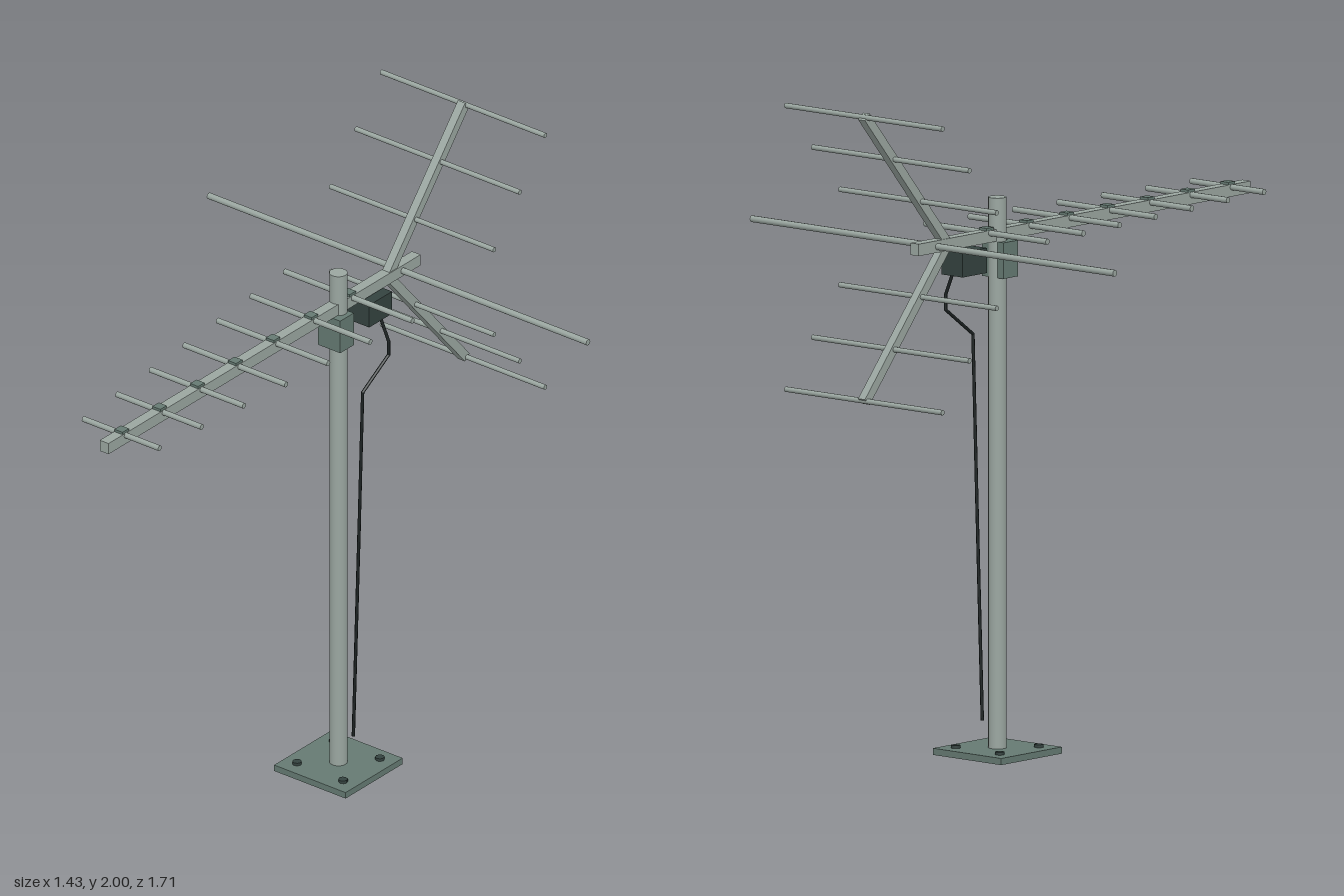
import * as THREE from 'three';

const mat = (name, color) => {
  const m = new THREE.MeshStandardMaterial({ color });
  m.name = name;
  return m;
};

export function createModel() {
  const metal = mat('galvanised metal', 0x9aa6a0);
  const plate = mat('green grey steel', 0x657a72);
  const dark = mat('dark housing', 0x34423f);
  const rubber = mat('black rubber', 0x1b2121);

  const model = new THREE.Group();
  model.name = 'rooftopAntenna';

  const add = (name, geometry, material, x, y, z) => {
    const mesh = new THREE.Mesh(geometry, material);
    mesh.name = name;
    mesh.position.set(x, y, z);
    model.add(mesh);
    return mesh;
  };
  const box = (name, w, h, d, material, x, y, z) =>
    add(name, new THREE.BoxGeometry(w, h, d), material, x, y, z);

  // Horizontal tube across x
  const element = (name, half, r, y, z) =>
    add(name, new THREE.CylinderGeometry(r, r, half * 2, 10).rotateZ(Math.PI / 2), metal, 0, y, z);

  const MAST_Z = -0.253;
  const BOOM_Y = 1.559;

  // Base plate with four bolts
  box('basePlate', 0.27, 0.02, 0.27, plate, 0, 0.01, MAST_Z);
  for (const sx of [-1, 1]) for (const sz of [-1, 1])
    add('baseBolt', new THREE.CylinderGeometry(0.014, 0.014, 0.012, 8), dark,
      sx * 0.087, 0.023, MAST_Z + sz * 0.087);

  // Mast and the clamp under the boom
  add('mast', new THREE.CylinderGeometry(0.027, 0.027, 1.655, 20), metal, 0, 0.8425, MAST_Z);
  box('mastClamp', 0.084, 0.108, 0.064, plate, 0, 1.485, -0.241);

  // Boom
  box('boom', 0.033, 0.036, 1.476, metal, 0, BOOM_Y, 0.117);

  // Directors grow longer toward the back, each under a clip
  for (let i = 0; i < 7; i++) {
    const z = 0.772 - i * 0.179;
    element('director', 0.144 + i * 0.0163, 0.009, 1.569, z);
    box('directorClip', 0.03, 0.014, 0.03, plate, 0, 1.578, z);
  }

  // Driven dipole and its junction box
  element('dipole', 0.717, 0.01, BOOM_Y, -0.537);
  box('junctionBox', 0.084, 0.075, 0.108, dark, 0, 1.496, -0.4);

  // V-shaped reflector arms with three bars each
  const apexZ = -0.481, tipZ = -0.846, rise = 0.427;
  const armLength = Math.hypot(tipZ - apexZ, rise);
  for (const s of [1, -1]) {
    const arm = box('reflectorArm', 0.027, 0.028, armLength, metal,
      0, BOOM_Y + s * rise / 2, (apexZ + tipZ) / 2);
    arm.rotation.x = s * Math.atan2(rise, apexZ - tipZ);
    for (const t of [0.335, 0.667, 0.995])
      element('reflectorBar', 0.31, 0.008, BOOM_Y + s * rise * t, apexZ + (tipZ - apexZ) * t);
  }

  // Cable from the junction box down beside the mast
  const path = [
    [0.035, 1.47, -0.405], [0.062, 1.39, -0.413], [0.062, 1.345, -0.413],
    [0.05, 1.26, -0.305], [0.043, 0.8, -0.297], [0.03, 0.104, -0.286],
  ].map(p => new THREE.Vector3(...p));
  const up = new THREE.Vector3(0, 1, 0);
  for (let i = 0; i < path.length - 1; i++) {
    const a = path[i], b = path[i + 1];
    const dir = b.clone().sub(a);
    const mid = a.clone().add(b).multiplyScalar(0.5);
    const seg = add('cable', new THREE.CylinderGeometry(0.005, 0.005, dir.length() + 0.003, 8),
      rubber, mid.x, mid.y, mid.z);
    seg.quaternion.setFromUnitVectors(up, dir.normalize());
  }

  return model;
}
